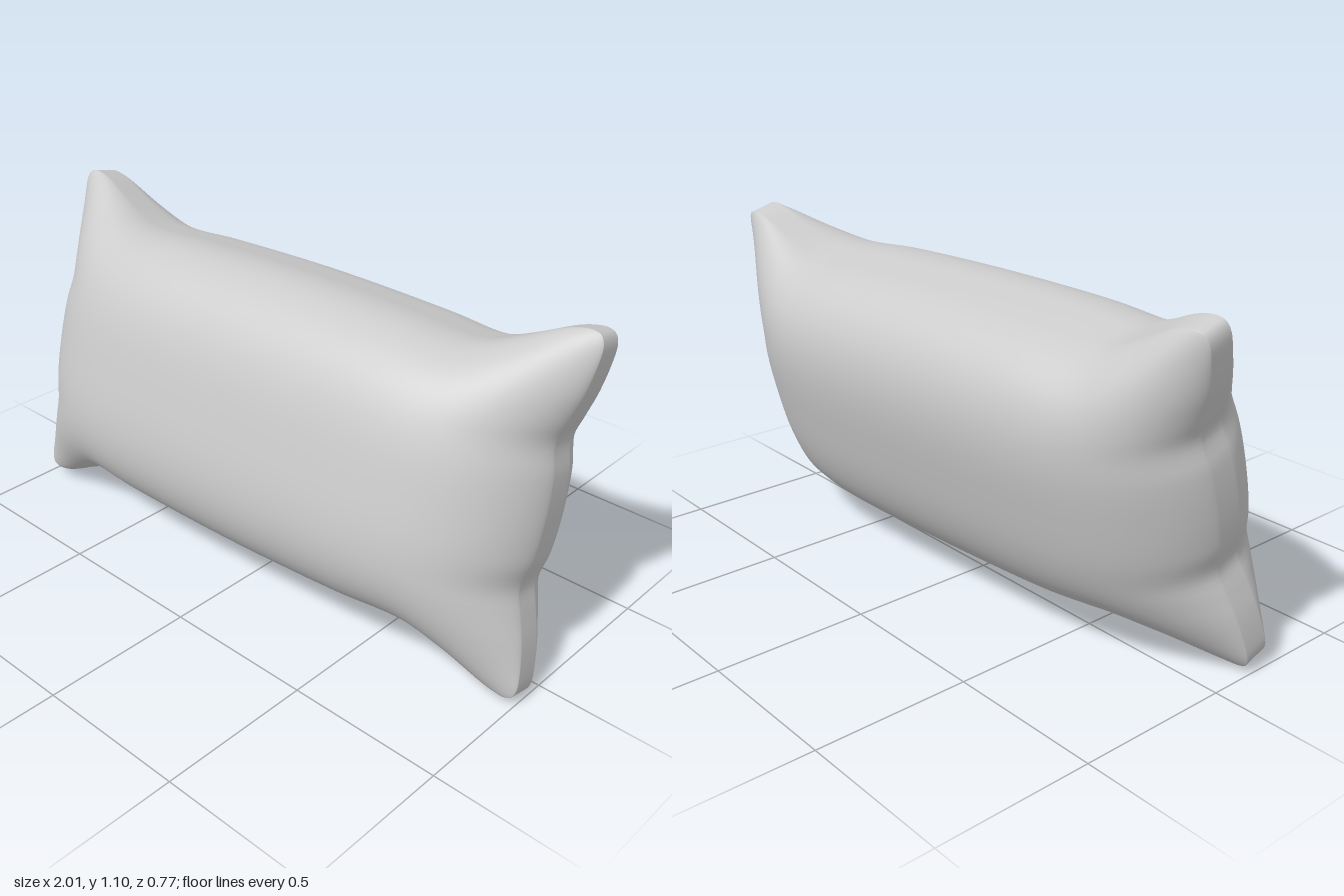
import * as THREE from 'three';
import { mergeVertices } from 'three/addons/utils/BufferGeometryUtils.js';

// Smooth interpolation through [position, value] points, mirrored about 0
function outline(points) {
  return (p) => {
    const a = Math.min(Math.abs(p), 1);
    let i = 0;
    while (i < points.length - 2 && a > points[i + 1][0]) i++;
    const slope = (k) => {
      if (k === 0) return 0;
      const p0 = points[k - 1], p1 = points[Math.min(k + 1, points.length - 1)];
      return (p1[1] - p0[1]) / (p1[0] - p0[0]);
    };
    const [x0, y0] = points[i], [x1, y1] = points[i + 1];
    const d = x1 - x0, t = (a - x0) / d, t2 = t * t, t3 = t2 * t;
    return (2 * t3 - 3 * t2 + 1) * y0 + (t3 - 2 * t2 + t) * d * slope(i)
      + (3 * t2 - 2 * t3) * y1 + (t3 - t2) * d * slope(i + 1);
  };
}

// Half height along the length, and half length along the height: both flare into ears
const halfHeight = outline([[0, 0.454], [0.45, 0.444], [0.62, 0.434], [0.7, 0.443], [0.8, 0.484], [0.9, 0.535], [0.96, 0.554], [1, 0.557]]);
const halfLength = outline([[0, 0.96], [0.28, 0.953], [0.46, 0.934], [0.59, 0.955], [0.74, 0.982], [0.92, 1.002], [1, 1.004]]);
const RIM = 0.042;   // half width of the edge band
const PUFF = 0.298;  // extra half thickness in the middle
const { lerp } = THREE.MathUtils;

function pillowGeometry() {
  let g = new THREE.BoxGeometry(2, 2, 2, 96, 72, 2);
  g.deleteAttribute('uv');
  g.deleteAttribute('normal');
  g = mergeVertices(g);
  const pos = g.attributes.position;
  for (let i = 0; i < pos.count; i++) {
    // Rows crowd toward the edges, where the surface turns fastest
    const u = Math.sin(pos.getX(i) * Math.PI / 2);
    const v = Math.sin(pos.getY(i) * Math.PI / 2);
    // Full and round along the long edges, pinched thin toward the ears
    const swell = Math.max(0, 1 - Math.abs(u) ** 5) ** 0.7
      * Math.max(0, 1 - Math.abs(v) ** 2.9) ** (0.45 + 0.3 * u ** 6);
    const blunt = 1 - 0.022 * Math.abs(u * v) ** 30; // rounds the ear tips
    // The flare of the outline fades out toward the middle of the faces
    pos.setXYZ(i,
      u * lerp(0.96, halfLength(v), u ** 6) * blunt,
      v * lerp(0.454, halfHeight(u), v ** 2) * blunt,
      pos.getZ(i) * (RIM + PUFF * swell));
  }
  g.computeVertexNormals();
  return g;
}

export function createModel() {
  const model = new THREE.Group();
  model.name = 'pillow';
  const cushion = new THREE.Mesh(
    pillowGeometry(),
    new THREE.MeshStandardMaterial({ color: 0xcccccc, roughness: 0.9 }));
  cushion.name = 'cushion';
  // Leans back, slightly turned
  cushion.rotation.set(-0.256, 0.047, 0.005);
  cushion.position.y = 0.555;
  model.add(cushion);
  return model;
}
